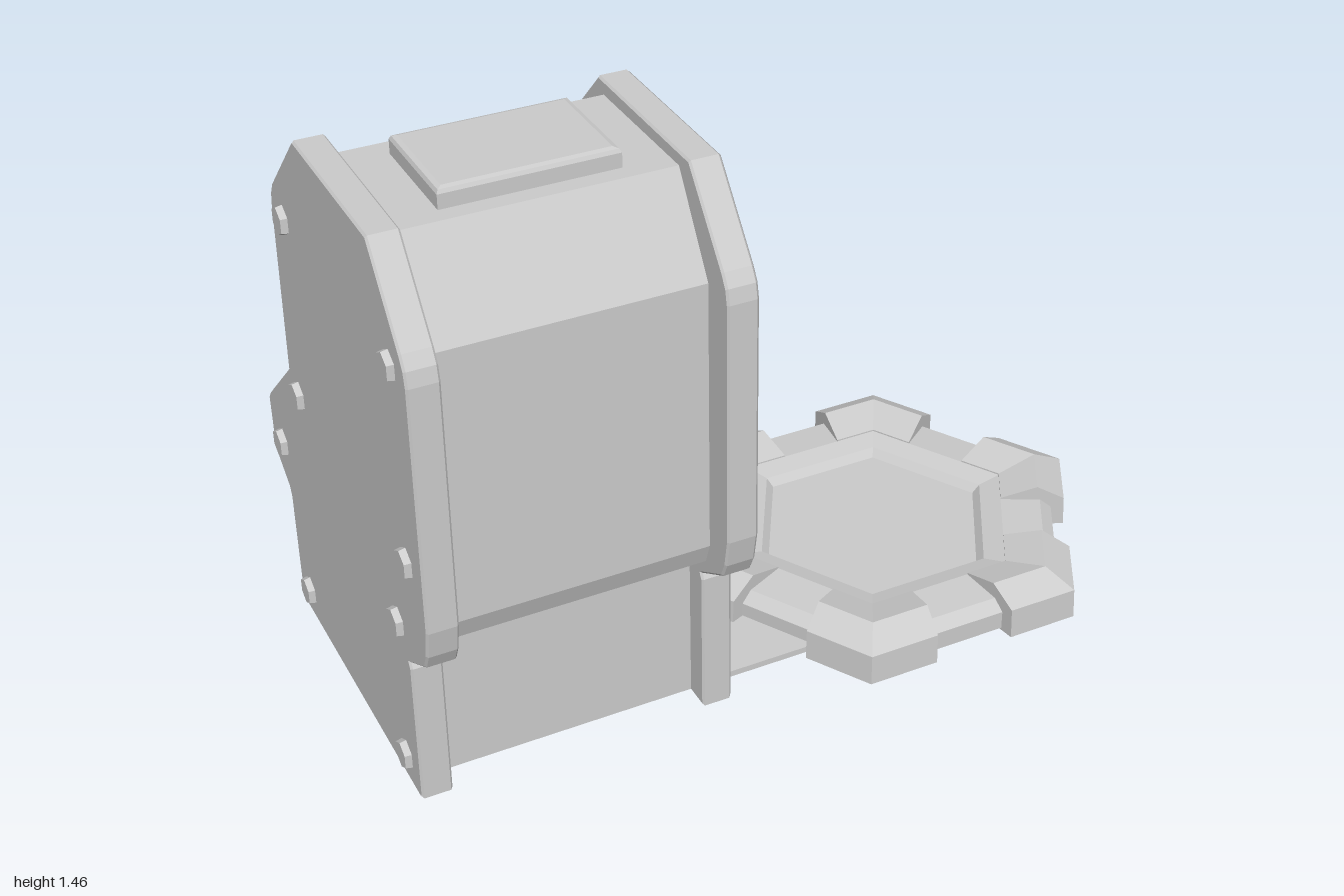
import * as THREE from 'three';

const grey = new THREE.MeshStandardMaterial({ color: 0xcccccc, flatShading: true });
const thin = new THREE.MeshStandardMaterial({ color: 0xcccccc, flatShading: true, side: THREE.DoubleSide });

function add(parent, name, geometry, x = 0, y = 0, z = 0, material = grey) {
  const mesh = new THREE.Mesh(geometry, material);
  mesh.name = name;
  mesh.position.set(x, y, z);
  parent.add(mesh);
  return mesh;
}

function fromTriangles(positions) {
  const g = new THREE.BufferGeometry();
  g.setAttribute('position', new THREE.Float32BufferAttribute(positions, 3));
  g.computeVertexNormals();
  return g;
}

const toVectors = points => points.map(p => new THREE.Vector2(...p));

// Cabinet side outline as [z, y]
const sideOutline = [
  [0.405, 0.03], [0.405, 0.395], [0.395, 0.413], [0.505, 0.478], [0.522, 0.515], [0.535, 0.585], [0.535, 1.19],
  [0.528, 1.225], [0.51, 1.255], [0.36, 1.442], [-0.09, 1.445], [-0.28, 1.26], [-0.298, 1.23], [-0.305, 1.19],
  [-0.315, 0.76], [-0.515, 0.58], [-0.53, 0.56], [-0.525, 0.43], [-0.51, 0.405], [-0.435, 0.355],
  [-0.425, 0.33], [-0.42, 0.03]
];

// Body shell profile as [z, y], open at the bottom, with the screen recess
const shellProfile = [
  [0.345, 0.03], [0.345, 0.41], [0.43, 0.465], [0.45, 0.52], [0.45, 1.2], [0.315, 1.415], [-0.065, 1.415],
  [-0.245, 1.23], [-0.247, 1.19], [-0.215, 1.175], [-0.215, 0.785], [-0.25, 0.768], [-0.25, 0.75], [-0.47, 0.54],
  [-0.478, 0.515], [-0.472, 0.47], [-0.455, 0.435], [-0.38, 0.375], [-0.365, 0.34], [-0.36, 0.03]
];

// Raised rim between the side outline and the shell
function sideRimGeometry() {
  const shape = new THREE.Shape(toVectors([...sideOutline, ...shellProfile.slice().reverse()]));
  const b = 0.005;
  const g = new THREE.ExtrudeGeometry(shape, {
    depth: 0.074 - 2 * b, bevelThickness: b, bevelSize: b, bevelSegments: 1
  });
  g.translate(0, 0, b - 0.037);
  return g.rotateY(-Math.PI / 2);
}

function shellGeometry(x0, x1) {
  const pos = [];
  for (let i = 0; i < shellProfile.length - 1; i++) {
    const [za, ya] = shellProfile[i], [zb, yb] = shellProfile[i + 1];
    pos.push(x0, ya, za, x1, ya, za, x1, yb, zb, x0, ya, za, x1, yb, zb, x0, yb, zb);
  }
  return fromTriangles(pos);
}

function buildCabinet() {
  const cabinet = new THREE.Group();
  cabinet.name = 'cabinet';
  cabinet.position.z = -0.003;
  add(cabinet, 'bodyShell', shellGeometry(-0.93, -0.265), 0, 0, 0, thin);

  // Side plates with rims and hex bolts; the inside stays hollow
  const bolts = [[0.45, 1.2], [-0.22, 1.2], [0.45, 0.715], [-0.25, 0.725], [0.355, 0.495],
    [-0.445, 0.48], [0.33, 0.1], [-0.345, 0.1]];
  const plate = new THREE.ShapeGeometry(new THREE.Shape(toVectors(sideOutline))).rotateY(-Math.PI / 2);
  for (const side of [-1, 1]) {
    const cx = -0.596 + side * 0.352;
    add(cabinet, 'sideRim', sideRimGeometry(), cx);
    add(cabinet, 'sidePlate', plate, cx + side * 0.038, 0, 0, thin);
    for (const [z, y] of bolts) {
      const head = new THREE.CylinderGeometry(0.034, 0.039, 0.024, 6).rotateY(Math.PI / 6).rotateZ(-side * Math.PI / 2);
      add(cabinet, 'bolt', head, cx + side * 0.042, y, z);
    }
    // Bevelled bar beside the screen
    const bar = new THREE.Shape(toVectors([[0, 0], [0.034, 0], [0.02, 0.035], [0, 0.035]]));
    const barGeo = new THREE.ExtrudeGeometry(bar, { depth: 0.415, bevelEnabled: false }).rotateX(Math.PI / 2);
    add(cabinet, 'screenSideBar', barGeo, -0.596 + side * 0.318, 1.188, -0.213, thin).scale.set(-side, 1, -1);
  }

  // Bevelled cap on the roof
  const cap = new THREE.ExtrudeGeometry(
    new THREE.Shape(toVectors([[-0.19, -0.125], [0.19, -0.125], [0.19, 0.125], [-0.19, 0.125]])),
    { depth: 0.04, bevelThickness: 0.012, bevelSize: 0.015, bevelSegments: 2 }).rotateX(-Math.PI / 2);
  add(cabinet, 'roofCap', cap, -0.595, 1.41, 0.131);

  // Round buttons on the sloping control panel
  for (const [x, z, r] of [[-0.77, -0.383, 0.072], [-0.6, -0.383, 0.072], [-0.425, -0.427, 0.049], [-0.425, -0.333, 0.049]]) {
    const profile = [[r, -0.01], [r, 0.008], [r * 0.92, 0.015], [r * 0.78, 0.015], [r * 0.78, 0.026], [r * 0.66, 0.034], [0, 0.036]];
    const y = 0.54 + (z + 0.47) * 0.21 / 0.22;
    add(cabinet, 'button', new THREE.LatheGeometry(toVectors(profile), 18), x, y, z).rotation.x = -Math.atan2(0.21, 0.22);
  }
  return cabinet;
}

// Chevron block wrapped round one hexagon corner (the corner points to +x)
function cornerBlockGeometry() {
  const profile = [[0.582, 0], [0.578, 0.08], [0.495, 0.12], [0.385, 0.092], [0.385, 0]];
  const rows = profile.map(([r, y]) => {
    const len = 0.184 - (0.58 - r) * 0.37;
    return [-1, 0, 1].map(s => [r - Math.abs(s) * len / 2, y, s * len * 0.866]);
  });
  const pos = [];
  const tri = (a, b, c) => pos.push(...a, ...b, ...c);
  for (let i = 0; i < rows.length; i++) {
    const lo = rows[i], up = rows[(i + 1) % rows.length];
    for (let k = 0; k < 2; k++) {
      tri(lo[k], up[k], up[k + 1]);
      tri(lo[k], up[k + 1], lo[k + 1]);
    }
    if (i > 0 && i < rows.length - 1) {
      tri(rows[0][2], lo[2], up[2]);
      tri(rows[0][0], up[0], lo[0]);
    }
  }
  return fromTriangles(pos);
}

function buildPad() {
  const pad = new THREE.Group();
  pad.name = 'hexPad';
  pad.position.set(0.419, 0, -0.012);
  // Six-sided base ring with a sunken floor
  const profile = [[0, 0.035], [0.29, 0.035], [0.31, 0.015], [0.4, 0.015], [0.41, 0.006], [0.54, 0.006], [0.54, 0.055],
    [0.505, 0.08], [0.385, 0.088], [0.325, 0.075], [0.305, 0.055], [0, 0.055]];
  add(pad, 'padBase', new THREE.LatheGeometry(toVectors(profile), 6, Math.PI / 2));
  const block = cornerBlockGeometry();
  for (let i = 0; i < 6; i++) add(pad, 'cornerBlock', block).rotation.y = i * Math.PI / 3;
  return pad;
}

export function createModel() {
  const model = new THREE.Group();
  model.name = 'arcadeCabinetWithPad';
  model.add(buildCabinet(), buildPad());
  // Flat plate joining the cabinet and the pad
  add(model, 'connectingPlate', new THREE.BoxGeometry(0.34, 0.016, 0.66), -0.07, 0.01, -0.015);
  return model;
}
